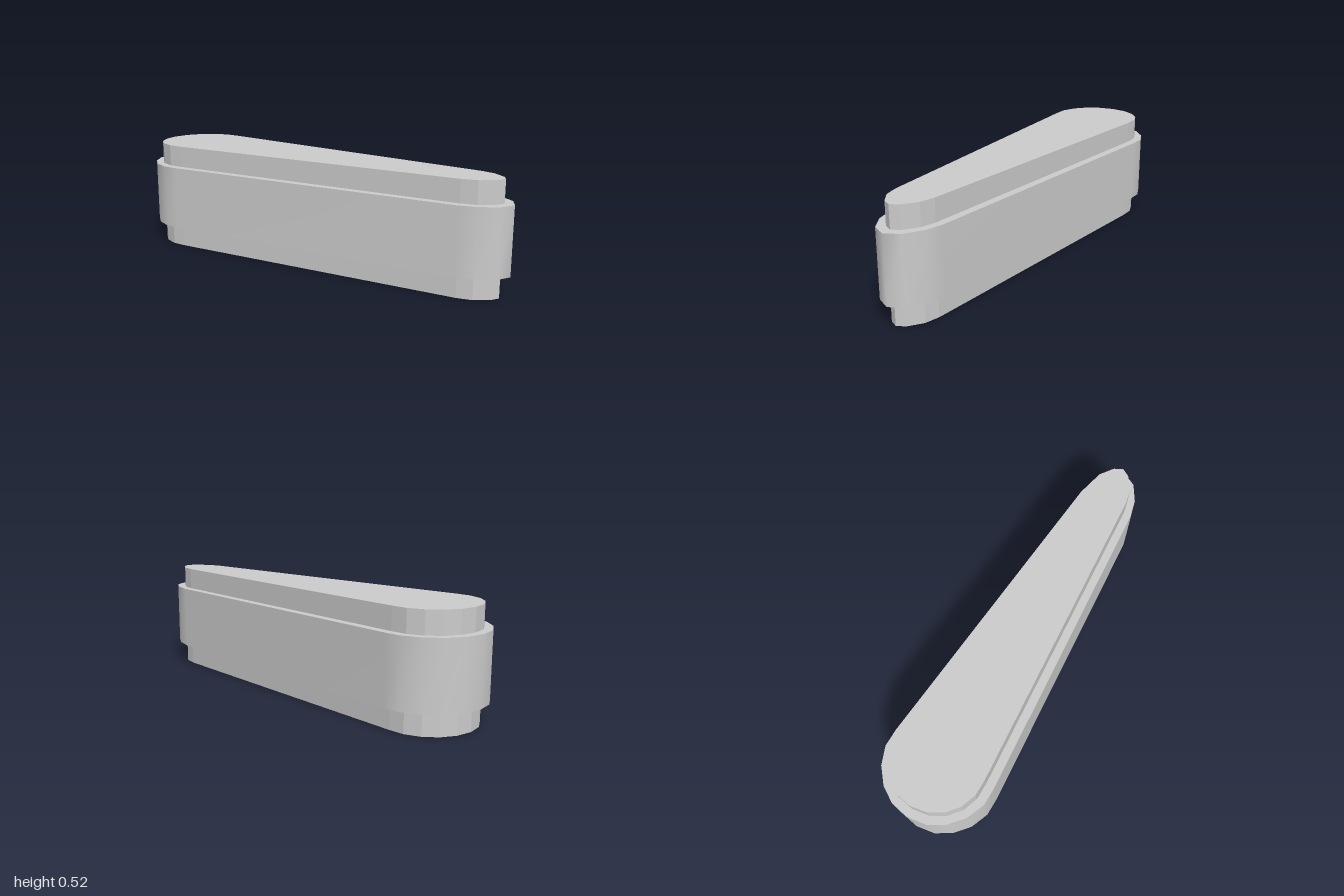
import * as THREE from 'three';

// Half outlines (x, z) from the wide end to the narrow tip
const OUTER = [[-1, 0], [-0.985, 0.09], [-0.94, 0.165], [-0.87, 0.225], [-0.785, 0.259], [-0.7, 0.259],
  [0.8, 0.14], [0.885, 0.118], [0.965, 0.068], [1, 0]];
const INNER = [[-0.96, 0], [-0.946, 0.08], [-0.908, 0.145], [-0.852, 0.193], [-0.78, 0.219], [-0.705, 0.219],
  [0.8, 0.102], [0.87, 0.085], [0.933, 0.04], [0.955, 0]];

const Y = [0, 0.105, 0.42, 0.525];

// Mirror a half outline across z = 0 into a closed loop
const mirror = (half) => [...half, ...half.slice(1, -1).reverse().map(([x, z]) => [x, -z])];

// Strip of quads joining a lower loop to an upper loop
function strip(lower, y0, upper, y1) {
  const n = lower.length;
  const positions = [];
  const index = [];
  lower.forEach(([x, z]) => positions.push(x, y0, z));
  upper.forEach(([x, z]) => positions.push(x, y1, z));
  for (let i = 0; i < n; i++) {
    const j = (i + 1) % n;
    index.push(i, j, n + j, i, n + j, n + i);
  }
  const geometry = new THREE.BufferGeometry();
  geometry.setAttribute('position', new THREE.Float32BufferAttribute(positions, 3));
  geometry.setIndex(index);
  geometry.computeVertexNormals();
  return geometry;
}

export function createModel() {
  const group = new THREE.Group();
  group.name = 'taperedCover';
  const outer = mirror(OUTER);
  const inner = mirror(INNER);
  const options = { color: 0xcccccc, side: THREE.DoubleSide };
  const smooth = new THREE.MeshStandardMaterial(options);
  const flat = new THREE.MeshStandardMaterial({ ...options, flatShading: true });

  const add = (name, geometry, material) => {
    const mesh = new THREE.Mesh(geometry, material);
    mesh.name = name;
    group.add(mesh);
  };

  // Hollow stepped shell, open underneath
  add('lowerRim', strip(inner, Y[0], inner, Y[1]), flat);
  add('lowerLedge', strip(inner, Y[1], outer, Y[1]), flat);
  add('middleWall', strip(outer, Y[1], outer, Y[2]), smooth);
  add('upperLedge', strip(outer, Y[2], inner, Y[2]), flat);
  add('upperRim', strip(inner, Y[2], inner, Y[3]), flat);

  // Flat lid
  const lid = new THREE.ShapeGeometry(new THREE.Shape(inner.map(([x, z]) => new THREE.Vector2(x, -z))));
  lid.rotateX(-Math.PI / 2).translate(0, Y[3], 0);
  add('lid', lid, flat);

  return group;
}
